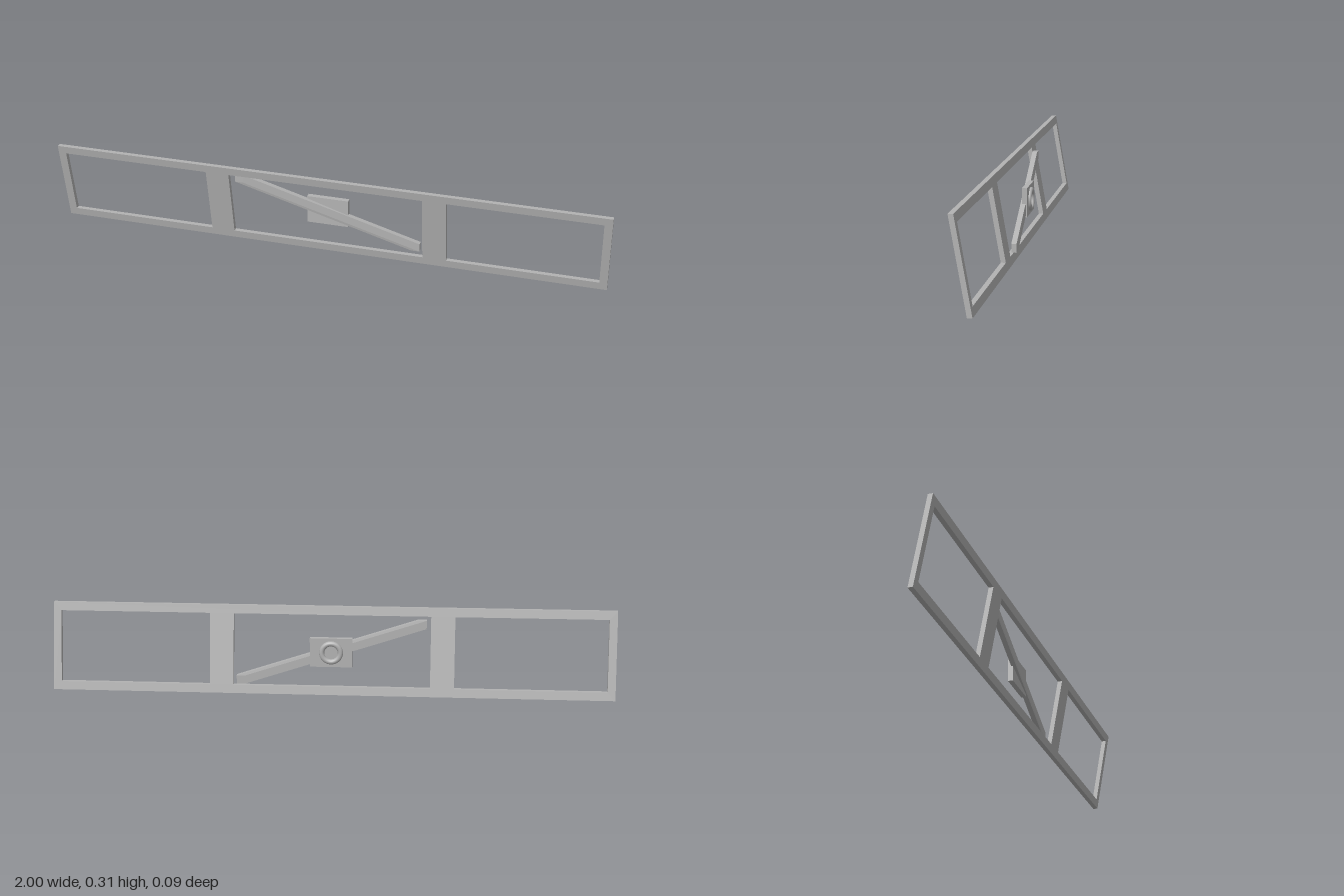
import * as THREE from 'three';
import { ConvexGeometry } from 'three/addons/geometries/ConvexGeometry.js';

export function createModel() {
  const model = new THREE.Group();
  const grey = new THREE.MeshStandardMaterial({ color: 0xb2b2b2 });
  grey.name = 'grey';

  const add = (name, geometry, x = 0, y = 0, z = 0) => {
    const mesh = new THREE.Mesh(geometry, grey);
    mesh.name = name;
    mesh.position.set(x, y, z);
    model.add(mesh);
  };

  const rectangle = (target, x0, x1, y0, y1) => {
    target.moveTo(x0, y0);
    target.lineTo(x1, y0);
    target.lineTo(x1, y1);
    target.lineTo(x0, y1);
    target.closePath();
    return target;
  };

  // Long frame with three openings, leaning forward with level top and bottom
  const outline = rectangle(new THREE.Shape(), -1, 1, 0, 0.31);
  for (const [x0, x1] of [[-0.972, -0.435], [-0.35, 0.35], [0.435, 0.972]]) {
    outline.holes.push(rectangle(new THREE.Path(), x0, x1, 0.029, 0.281));
  }
  const frame = new THREE.ExtrudeGeometry(outline, { depth: 0.017, bevelEnabled: false });
  frame.translate(0, 0, -0.028);
  const slope = 0.177;
  frame.applyMatrix4(new THREE.Matrix4().set(1, 0, 0, 0, 0, 1, 0, 0, 0, slope, 1, 0, 0, 0, 0, 1));
  frame.computeVertexNormals();
  add('frame', frame);

  // Slanted bar: a small block swept straight from upper right to lower left
  const corners = [];
  for (const [x, y, z] of [[-0.32, 0.258, 0.003], [0.32, 0.055, -0.032]]) {
    for (const i of [-1, 1]) for (const j of [-1, 1]) for (const k of [-1, 1]) {
      corners.push(new THREE.Vector3(x + i * 0.015, y + j * 0.015, z + k * 0.009));
    }
  }
  add('slantedBar', new ConvexGeometry(corners));

  // Upright mounting plate with a ring on its back
  add('mountingPlate', new THREE.BoxGeometry(0.15, 0.104, 0.018), 0, 0.157, -0.023);
  add('ring', new THREE.TorusGeometry(0.033, 0.0095, 12, 32), 0, 0.157, -0.032);

  return model;
}
